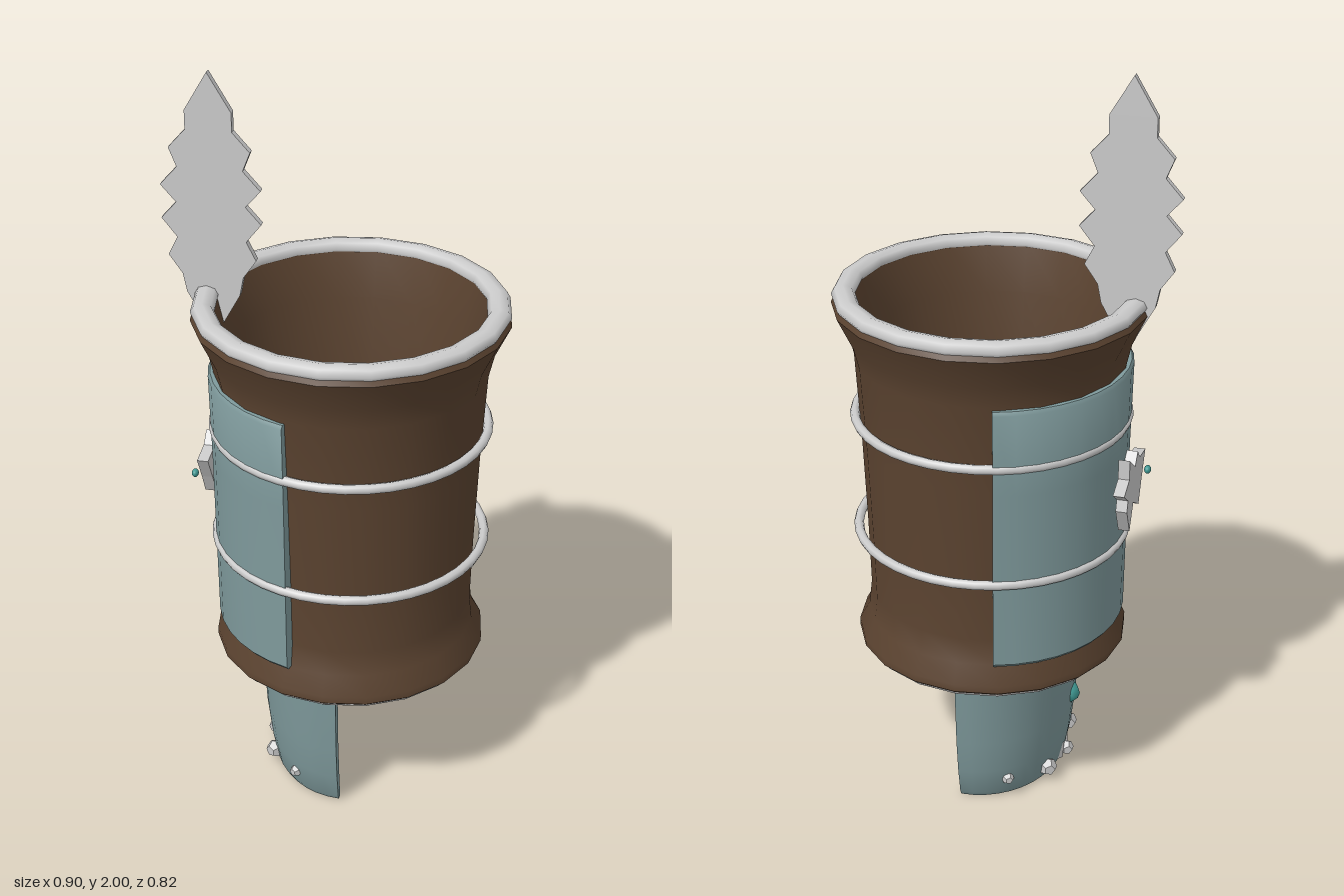
import * as THREE from 'three';
import { mergeGeometries, toCreasedNormals } from 'three/addons/utils/BufferGeometryUtils.js';

const mat = (color) => new THREE.MeshStandardMaterial({ color, side: THREE.DoubleSide });
const grey = mat(0xcccccc), brown = mat(0x5b4330), blue = mat(0x7f9a9c), teal = mat(0x3f9a94);
const AXIS = 0.04; // x of the cup's axis
const SIDES = 20;
const points = (list) => list.map(([a, b]) => new THREE.Vector2(a, b));

export function createModel() {
  const model = new THREE.Group();

  const add = (name, geometry, material, x = 0, y = 0, z = 0) => {
    const mesh = new THREE.Mesh(geometry, material);
    mesh.name = name;
    mesh.position.set(x, y, z);
    model.add(mesh);
    return mesh;
  };

  // Horizontal hoop, optionally flattened in height
  const hoop = (name, radius, tube, y, flat = 1, tubeSides = 8, sides = 40) => {
    const g = new THREE.TorusGeometry(radius, tube, tubeSides, sides).rotateX(Math.PI / 2).scale(1, flat, 1);
    return add(name, g, grey, AXIS, y);
  };

  // Curved plate centred on -x: a closed (radius, height) profile swept through an arc, with end caps
  const curvedPlate = (profile, halfAngle, segments, scaleX = 1) => {
    const start = Math.PI * 1.5 - halfAngle;
    const loop = points([...profile, profile[0]]);
    const cap = (phi) => new THREE.ShapeGeometry(new THREE.Shape(points(profile))).rotateY(phi - Math.PI / 2);
    const g = mergeGeometries([
      new THREE.LatheGeometry(loop, segments, start, halfAngle * 2),
      cap(start),
      cap(start + halfAngle * 2),
    ]);
    return toCreasedNormals(g.scale(scaleX, 1, 1), 0.6);
  };

  // Flat cut-out with thickness, centred on its own plane
  const cutout = (outline, depth) =>
    new THREE.ExtrudeGeometry(new THREE.Shape(points(outline)), { depth, bevelEnabled: false })
      .translate(0, 0, -depth / 2);

  // Open-ended cup wall: outside going up, inside coming down
  const wall = points([
    [0.35, 0.405], [0.368, 0.42], [0.368, 0.44], [0.34, 0.49], [0.332, 0.56], [0.336, 0.75], [0.345, 1.0],
    [0.358, 1.24], [0.372, 1.3], [0.412, 1.385], [0.4, 1.41],
    [0.355, 1.41], [0.325, 1.28], [0.305, 1.0], [0.29, 0.6], [0.29, 0.5], [0.325, 0.42], [0.325, 0.405], [0.35, 0.405],
  ]);
  add('cupWall', toCreasedNormals(new THREE.LatheGeometry(wall, SIDES), 0.7), brown, AXIS);

  // Rim, foot ring and two bands
  hoop('rim', 0.38, 0.031, 1.408, 0.72, 8, SIDES);
  hoop('footRing', 0.342, 0.016, 0.411, 0.7, 6, SIDES);
  for (const y of [0.745, 1.075]) hoop('band', 0.361, 0.013, y);

  // Wrapped side panel
  const panel = curvedPlate(
    [[0.353, 0.495], [0.361, 0.505], [0.364, 0.75], [0.367, 1.0], [0.372, 1.225], [0.366, 1.235],
      [0.35, 1.235], [0.335, 1.0], [0.327, 0.75], [0.325, 0.495]], 1.29, 16);
  add('sidePanel', panel, blue, AXIS);

  // Jagged emblem on the panel, drawn as (z, y)
  const emblem = cutout([
    [0.1, 0.96], [0.03, 0.97], [0.0, 1.0], [-0.03, 0.97], [-0.1, 1.02], [-0.1, 0.965], [-0.16, 0.945],
    [-0.11, 0.91], [-0.12, 0.88], [-0.08, 0.805], [-0.04, 0.87], [0.03, 0.83], [0.06, 0.89],
  ], 0.03).rotateY(-Math.PI / 2);
  add('emblem', emblem, grey, -0.341);
  const bead = add('emblemBead', new THREE.IcosahedronGeometry(0.012, 1), teal, -0.368, 0.91, 0.08);
  bead.scale.x = 0.8;

  // Serrated feather standing at the rim: half outline mirrored
  const half = [
    [0.06, 1.9], [0.06, 1.85], [0.105, 1.8], [0.085, 1.75], [0.13, 1.7], [0.09, 1.655], [0.13, 1.61],
    [0.09, 1.56], [0.115, 1.51], [0.08, 1.46], [0.07, 1.41], [0.02, 1.32],
  ];
  const mirrored = half.map(([x, y]) => [-x, y]).reverse();
  add('feather', cutout([[0, 2], ...half, ...mirrored], 0.02), grey, -0.32);

  // Half-round spout below the cup, open towards +x
  const spout = curvedPlate(
    [[0.25, 0.004], [0.26, 0.02], [0.277, 0.1], [0.29, 0.2], [0.303, 0.42],
      [0.272, 0.42], [0.26, 0.2], [0.248, 0.1], [0.234, 0.004]], Math.PI / 2, 20, 0.87);
  add('spout', spout, blue, 0.06);

  // Gem set through the spout wall
  const gem = add('spoutGem', new THREE.SphereGeometry(0.035, 8, 6), teal, -0.17, 0.225, 0);
  gem.scale.x = 1.25;

  // Pair of sloping bars meeting in a V inside the spout
  for (const s of [1, -1]) {
    const bar = new THREE.BoxGeometry(0.23, 0.048, 0.05).translate(0.115, 0, s * 0.025);
    add('bar', bar, grey, -0.13, 0.042, 0).rotation.set(0, -s * 1.09, 0.15);
  }

  // Faceted studs round the outside of the spout foot
  const stud = (angle, radius, y) => add('stud',
    new THREE.DodecahedronGeometry(radius), grey, 0.06 - 0.236 * Math.cos(angle), y, 0.27 * Math.sin(angle));
  stud(0, 0.022, 0.035);
  for (const s of [1, -1]) {
    stud(s * 0.45, 0.026, 0.045);
    stud(s * 1.0, 0.017, 0.065);
  }

  return model;
}
